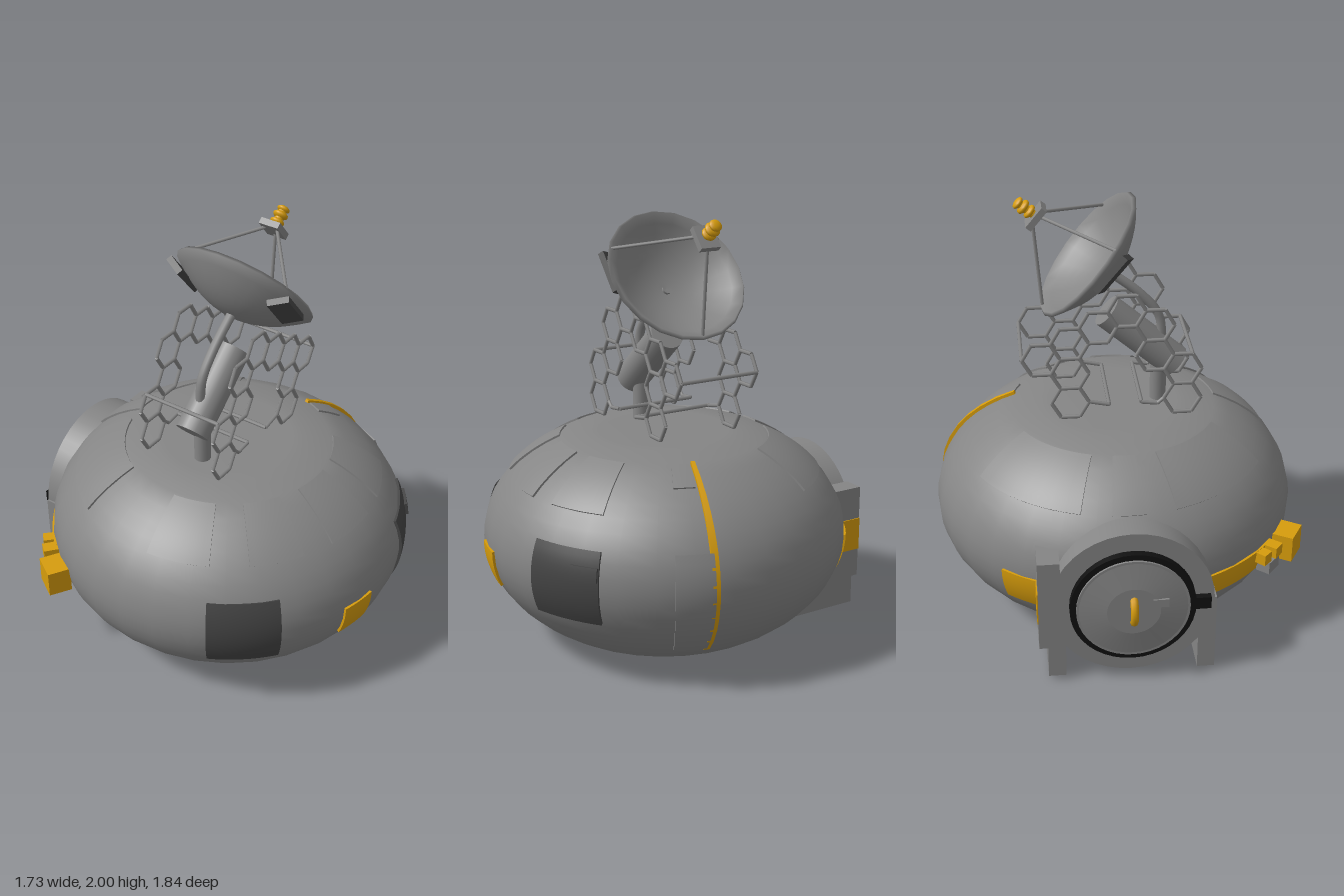
import * as THREE from 'three';

const mat = (name, color) => {
  const m = new THREE.MeshStandardMaterial({ color });
  m.name = name;
  return m;
};
const V = (x, y, z) => new THREE.Vector3(x, y, z);
const CZ = 0.055, CY = 0.492, R = 0.865, B = 0.56; // hull centre and ellipse radii
const DEG = Math.PI / 180;

export function createModel() {
  const root = new THREE.Group();
  root.name = 'spaceStation';
  const gray = mat('hull gray', 0x858585);
  const dark = mat('window gray', 0x444444);
  const black = mat('seal black', 0x101010);
  const yellow = mat('marking yellow', 0xd69c0c);

  const add = (name, geo, m, parent = root, p = [0, 0, 0]) => {
    const mesh = new THREE.Mesh(geo, m);
    mesh.name = name;
    mesh.position.set(...p);
    parent.add(mesh);
    return mesh;
  };
  const box = (name, size, p, m, parent = root) => add(name, new THREE.BoxGeometry(...size), m, parent, p);
  const rod = (name, a, b, r, m, parent = root, sides = 8) => {
    const d = b.clone().sub(a);
    const mesh = add(name, new THREE.CylinderGeometry(r, r, d.length(), sides), m, parent);
    mesh.position.copy(a).add(b).multiplyScalar(0.5);
    mesh.quaternion.setFromUnitVectors(V(0, 1, 0), d.normalize());
    return mesh;
  };

  // Hull: squashed ball with flat top and bottom
  const profile = [[0, 0.007], [0.3, 0.007], [0.35, 0.009]];
  const tMax = Math.asin(0.465 / B);
  for (let i = 0; i <= 18; i++) {
    const t = -tMax + (2 * tMax * i) / 18;
    profile.push([R * Math.cos(t), CY + B * Math.sin(t)]);
  }
  profile.push([0.35, 0.975], [0.3, 0.978], [0, 0.978]);
  add('hull', new THREE.LatheGeometry(profile.map(p => new THREE.Vector2(...p)), 32), gray, root, [0, 0, CZ]);

  // Plate bent onto the hull between two angles (from the front) and two heights
  const plate = (name, a0, a1, y0, y1, m, lift = 0.009) => {
    const g = new THREE.BoxGeometry(1, 1, 1, 8, 12, 1);
    const pos = g.attributes.position;
    const t0 = Math.asin((y0 - CY) / B), t1 = Math.asin((y1 - CY) / B);
    for (let i = 0; i < pos.count; i++) {
      const phi = (a0 + (a1 - a0) * (pos.getX(i) + 0.5)) * DEG;
      const t = t0 + (t1 - t0) * (pos.getY(i) + 0.5);
      const n = new THREE.Vector2(Math.cos(t) / R, Math.sin(t) / B).normalize();
      const off = pos.getZ(i) > 0 ? lift : -0.015;
      const r = R * Math.cos(t) + n.x * off;
      pos.setXYZ(i, Math.sin(phi) * r, CY + B * Math.sin(t) + n.y * off, CZ + Math.cos(phi) * r);
    }
    g.computeVertexNormals();
    return add(name, g, m);
  };

  // Roof panels
  [[-85, -62], [-48, -28], [-16, 5.5], [16, 37.5], [118, 163], [174, 186], [197, 242]]
    .forEach(([a, b]) => plate('roofPanel', a, b, 0.79, 0.952, gray, 0.007));
  plate('smallRoofPanel', 62, 71, 0.885, 0.952, gray, 0.007);
  plate('sidePanel', 61.5, 73, 0.19, 0.66, gray, 0.014);
  plate('sideStripe', 72, 74.2, 0.18, 0.955, yellow, 0.014);

  // Windows and painted patches
  plate('leftWindow', 16.5, 39.5, 0.33, 0.66, dark);
  plate('rightWindow', -62, -39.5, 0.33, 0.66, dark);
  plate('windowLatch', 31, 39.3, 0.535, 0.595, dark, 0.022);
  plate('frontPatch', -17.5, -6, 0.33, 0.5, yellow, 0.007);
  plate('rearPatch', 139, 156, 0.33, 0.49, yellow, 0.007);
  plate('rearPatch', 203, 230, 0.36, 0.48, yellow, 0.007);

  // Equipment boxes at the rear
  [[239, 0.42, 0.13, 0.13, 0.11, yellow], [230.5, 0.452, 0.06, 0.055, 0.08, yellow],
    [229, 0.385, 0.09, 0.06, 0.07, gray], [225.5, 0.45, 0.055, 0.055, 0.07, yellow]]
    .forEach(([a, y, w, h, d, m]) => {
      const r = R - 0.015 + d / 2;
      const b = box('equipmentBox', [w, h, d],
        [Math.sin(a * DEG) * r, y, CZ + Math.cos(a * DEG) * r], m);
      b.rotation.y = a * DEG;
    });

  // Rear airlock
  const airlock = new THREE.Group();
  airlock.name = 'airlock';
  airlock.position.set(0, 0.415, 0);
  root.add(airlock);
  const drum = (name, r, z0, z1, m, rBack = r) => {
    const g = new THREE.CylinderGeometry(r, rBack, z1 - z0, 40).rotateX(Math.PI / 2);
    return add(name, g, m, airlock, [0, 0, (z0 + z1) / 2]);
  };
  drum('airlockHousing', 0.37, -0.81, -0.4, gray);
  drum('hatchSeal', 0.283, -0.843, -0.81, black);
  drum('hatchDoor', 0.255, -0.853, -0.81, gray);
  drum('hatchDome', 0.25, -0.872, -0.852, gray, 0.12);
  box('hatchHinge', [0.09, 0.06, 0.03], [-0.305, 0, -0.827], black, airlock);
  box('hatchLabel', [0.07, 0.04, 0.012], [-0.12, 0.04, -0.872], gray, airlock);
  const handle = add('hatchHandle', new THREE.TorusGeometry(0.065, 0.018, 8, 16, Math.PI), yellow, airlock, [0, 0, -0.85]);
  handle.rotation.set(0, Math.PI / 2, Math.PI / 2, 'YXZ');
  handle.geometry.scale(1, 0.85, 1);
  handle.rotation.set(0, 0, 0);
  handle.geometry.rotateZ(-Math.PI / 2).rotateY(Math.PI / 2);
  box('airlockBlock', [0.1, 0.46, 0.25], [0.37, 0.005, -0.685], gray, airlock);
  box('blockPatch', [0.006, 0.16, 0.13], [0.422, -0.005, -0.745], yellow, airlock);

  // Wedge feet under the airlock
  const wedge = new THREE.Shape([[-0.81, 0.03], [-0.3, 0.03], [-0.57, 0.19], [-0.57, 0.42], [-0.81, 0.42]]
    .map(p => new THREE.Vector2(...p)));
  for (const x of [0.38, -0.3]) {
    const g = new THREE.ExtrudeGeometry(wedge, { depth: 0.08, bevelEnabled: false }).rotateY(-Math.PI / 2);
    add('airlockFoot', g, gray, root, [x, 0, 0]);
  }

  // Dish mount
  rod('mast', V(-0.215, 0.97, CZ), V(-0.215, 1.25, CZ), 0.039, gray, root, 16);
  rod('motorDrum', V(-0.295, 1.165, CZ), V(0.03, 1.445, CZ), 0.08, gray, root, 20);
  const arm = new THREE.CatmullRomCurve3([V(-0.23, 1.27, CZ), V(-0.215, 1.41, CZ), V(-0.13, 1.52, CZ), V(0.03, 1.65, CZ)]);
  add('supportArm', new THREE.TubeGeometry(arm, 16, 0.022, 10), gray);

  // Dish, with its own axis along local y
  const dish = new THREE.Group();
  dish.name = 'dish';
  dish.position.set(0.115, 1.73, CZ);
  dish.rotation.z = -0.877;
  root.add(dish);
  const bowl = [];
  const depth = r => -0.145 * (1 - (r / 0.34) ** 2);
  for (let i = 0; i <= 8; i++) bowl.push(new THREE.Vector2(0.0425 * i, depth(0.0425 * i)));
  for (let i = 8; i >= 0; i--) bowl.push(new THREE.Vector2(0.041 * i, depth(0.0425 * i) + 0.016));
  add('dishBowl', new THREE.LatheGeometry(bowl, 20), gray, dish);
  for (const s of [1, -1]) {
    const clamp = box('dishClamp', [0.2, 0.03, 0.1], [-0.07, -0.058, s * 0.275], dark, dish);
    clamp.rotation.x = -s * 0.5;
  }
  for (let i = 0; i < 3; i++) {
    const a = (i * 2 * Math.PI) / 3;
    rod('feedStrut', V(0.325 * Math.cos(a), 0.005, 0.325 * Math.sin(a)),
      V(0.035 * Math.cos(a), 0.29, 0.035 * Math.sin(a)), 0.008, gray, dish);
  }
  box('feedPlate', [0.115, 0.03, 0.1], [0, 0.3, 0], gray, dish);
  rod('feedCore', V(0, 0.3, 0), V(0, 0.4, 0), 0.02, yellow, dish, 12);
  [[0.335, 0.034], [0.37, 0.036], [0.4, 0.03]].forEach(([y, r]) => {
    add('feedRing', new THREE.SphereGeometry(r, 14, 8).scale(1, 0.5, 1), yellow, dish, [0, y, 0]);
  });

  // Honeycomb trusses either side of the mast
  const cells = [[0.22, 1.09], [0.22, 1.24], [0.22, 1.39], [0.35, 1.315], [0.09, 1.465],
    [-0.04, 1.54], [-0.17, 1.465], [-0.17, 1.315], [-0.3, 1.24], [-0.3, 1.09]];
  for (const z of [CZ + 0.2, CZ - 0.2].map(v => v - 0.02)) {
    const done = new Set();
    for (const [cx, cy] of cells) {
      for (let k = 0; k < 6; k++) {
        const corner = j => V(cx + 0.0867 * Math.cos(j * 60 * DEG), cy + 0.0867 * Math.sin(j * 60 * DEG), z);
        const a = corner(k), b = corner(k + 1);
        // Shared edges are built once
        const key = `${Math.round((a.x + b.x) * 25)},${Math.round((a.y + b.y) * 25)}`;
        if (done.has(key)) continue;
        done.add(key);
        rod('trussBar', a, b, 0.0095, gray, root, 6);
      }
    }
    rod('trussStub', V(-0.213, 1.09, z), V(-0.185, 1.065, z), 0.009, gray, root, 6);
    rod('trussStub', V(-0.185, 1.065, z), V(-0.11, 1.075, z), 0.009, gray, root, 6);
    rod('trussStub', V(0.133, 1.09, z), V(0.04, 1.07, z), 0.009, gray, root, 6);
  }
  [[0.437, 1.315], [-0.343, 1.315], [-0.11, 1.075], [0.04, 1.07]].forEach(([x, y]) => {
    rod('crossBar', V(x, y, CZ - 0.22), V(x, y, CZ + 0.18), 0.0095, gray, root, 6);
  });

  return root;
}
